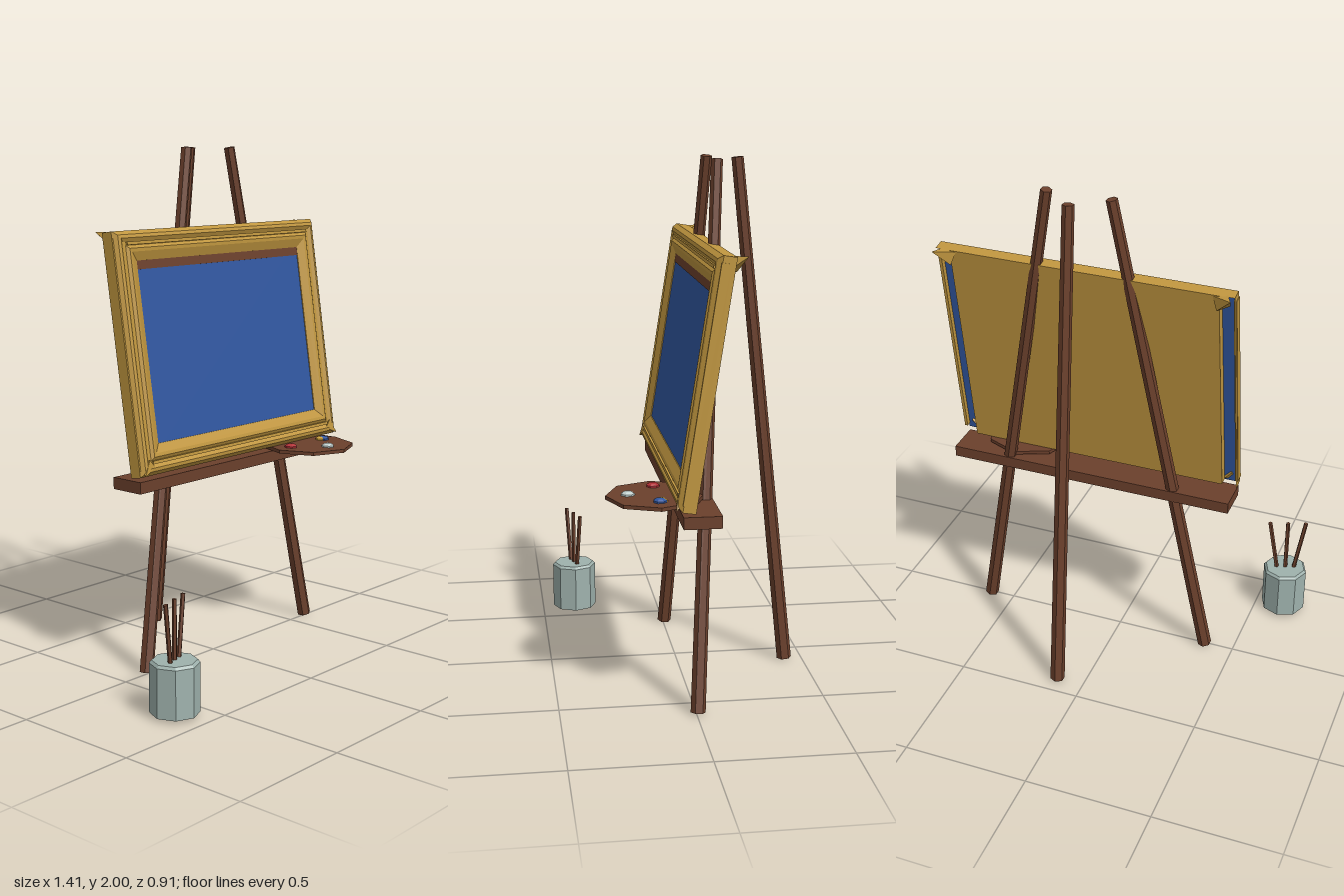
import * as THREE from 'three';

const mat = (name, color) => {
  const m = new THREE.MeshStandardMaterial({ color, flatShading: true });
  m.name = name;
  return m;
};

export function createModel() {
  const wood = mat('brown wood', 0x6b402c);
  const gold = mat('gold', 0xc0963f);
  const blue = mat('canvas blue', 0x3157a0);
  const tin = mat('grey tin', 0x9fb2ad);
  const red = mat('red paint', 0xb02f35);
  const white = mat('pale paint', 0xc3d2d0);
  const yellow = mat('yellow paint', 0xd2a53c);

  const root = new THREE.Group();
  root.name = 'easelSet';
  const cx = 0.11;

  const add = (parent, name, geo, material, x = 0, y = 0, z = 0) => {
    const mesh = new THREE.Mesh(geo, material);
    mesh.name = name;
    mesh.position.set(x, y, z);
    parent.add(mesh);
    return mesh;
  };

  // Straight rod between two points
  const rod = (parent, name, a, b, r0, r1, sides, material) => {
    const p = new THREE.Vector3(...a), q = new THREE.Vector3(...b);
    const d = q.clone().sub(p);
    const mesh = add(parent, name, new THREE.CylinderGeometry(r1, r0, d.length(), sides), material);
    mesh.position.copy(p).add(q).multiplyScalar(0.5);
    mesh.quaternion.setFromUnitVectors(new THREE.Vector3(0, 1, 0), d.normalize());
    return mesh;
  };

  // Three legs and the ledge
  for (const s of [-1, 1]) {
    rod(root, s < 0 ? 'rightFrontLeg' : 'leftFrontLeg',
      [cx + s * 0.49, 0.004, -0.006], [cx + s * 0.125, 1.996, -0.124], 0.028, 0.022, 6, wood);
  }
  rod(root, 'backLeg', [cx, 0.004, -0.43], [cx, 1.997, -0.222], 0.029, 0.023, 6, wood);
  add(root, 'ledge', new THREE.BoxGeometry(1.17, 0.045, 0.14), wood, cx, 0.757, -0.008);

  // Leaning picture
  const picture = new THREE.Group();
  picture.name = 'framedPicture';
  picture.position.set(cx, 1.245, -0.02);
  picture.rotation.x = -0.154;
  root.add(picture);

  // Moulding: mitred rectangles joined from the outer back edge to the opening
  const W = 0.588, H = 0.455;
  const profile = [[0, -0.032], [0, 0.016], [0.015, 0.033], [0.028, 0.036], [0.042, 0.027],
    [0.055, 0.027], [0.067, 0.036], [0.08, 0.034], [0.113, 0.018], [0.113, 0.01]];
  const pos = [];
  const corner = ([inset, z], j) => {
    const [sx, sy] = [[-1, -1], [1, -1], [1, 1], [-1, 1]][j % 4];
    return [sx * (W - inset), sy * (H - inset), z];
  };
  for (let i = 0; i < profile.length - 1; i++) {
    for (let j = 0; j < 4; j++) {
      const a = corner(profile[i], j), b = corner(profile[i], j + 1);
      const c = corner(profile[i + 1], j + 1), d = corner(profile[i + 1], j);
      pos.push(...a, ...b, ...c, ...a, ...c, ...d);
    }
  }
  const moulding = new THREE.BufferGeometry();
  moulding.setAttribute('position', new THREE.Float32BufferAttribute(pos, 3));
  moulding.computeVertexNormals();
  add(picture, 'frameMoulding', moulding, gold);

  // Raised side strips and rail beads on the moulding
  for (const s of [-1, 1]) {
    add(picture, 'sideStrip', new THREE.BoxGeometry(0.012, 0.86, 0.035), gold, s * 0.585, 0, 0.002);
    add(picture, 'railBead', new THREE.BoxGeometry(1.06, 0.012, 0.008), gold, 0, s * 0.407, 0.031);
  }

  // Canvas, painted strip and backing
  add(picture, 'canvas', new THREE.BoxGeometry(1.165, 0.9, 0.009), blue, 0, 0, 0.01);
  add(picture, 'paintedStrip', new THREE.BoxGeometry(0.95, 0.034, 0.004), wood, 0, 0.326, 0.0155);
  add(picture, 'backing', new THREE.BoxGeometry(1.06, 0.9, 0.036), gold, 0, 0.004, -0.014);

  // Pointed corner ornaments
  for (const s of [-1, 1]) {
    rod(picture, 'topCornerPoint', [s * 0.535, 0.425, -0.02], [s * 0.583, 0.462, -0.07], 0.04, 0.001, 4, gold);
    rod(picture, 'bottomCornerPoint', [s * 0.54, -0.415, 0.015], [s * 0.58, -0.452, 0.037], 0.03, 0.001, 4, gold);
  }

  // Palette with dabs of paint
  add(root, 'palette', new THREE.CylinderGeometry(0.185, 0.185, 0.014, 8), wood, 0.44, 0.791, 0.13);
  const dab = (name, material, x, z, r = 0.027) => {
    const m = add(root, name, new THREE.SphereGeometry(r, 7, 5), material, x, 0.8, z);
    m.scale.y = 0.5;
  };
  dab('redDab', red, 0.332, 0.127);
  dab('paleDab', white, 0.44, 0.232);
  dab('blueDab', blue, 0.546, 0.127);
  dab('yellowDab', yellow, 0.54, 0.122, 0.0255);

  // Pot with brushes
  const px = -0.615, pz = 0.363;
  const pot = new THREE.LatheGeometry([[0, 0.01], [0.092, 0.01], [0.092, 0.196], [0.083, 0.206], [0, 0.206]]
    .map(([x, y]) => new THREE.Vector2(x, y)), 8);
  add(root, 'pot', pot, tin, px, 0, pz);
  for (const s of [-1, 0, 1]) {
    rod(root, 'brush', [px + s * 0.034, 0.2, pz - s * 0.011],
      [px + s * 0.071, 0.43, pz - s * 0.024], 0.009, 0.009, 5, wood);
  }
  return root;
}
